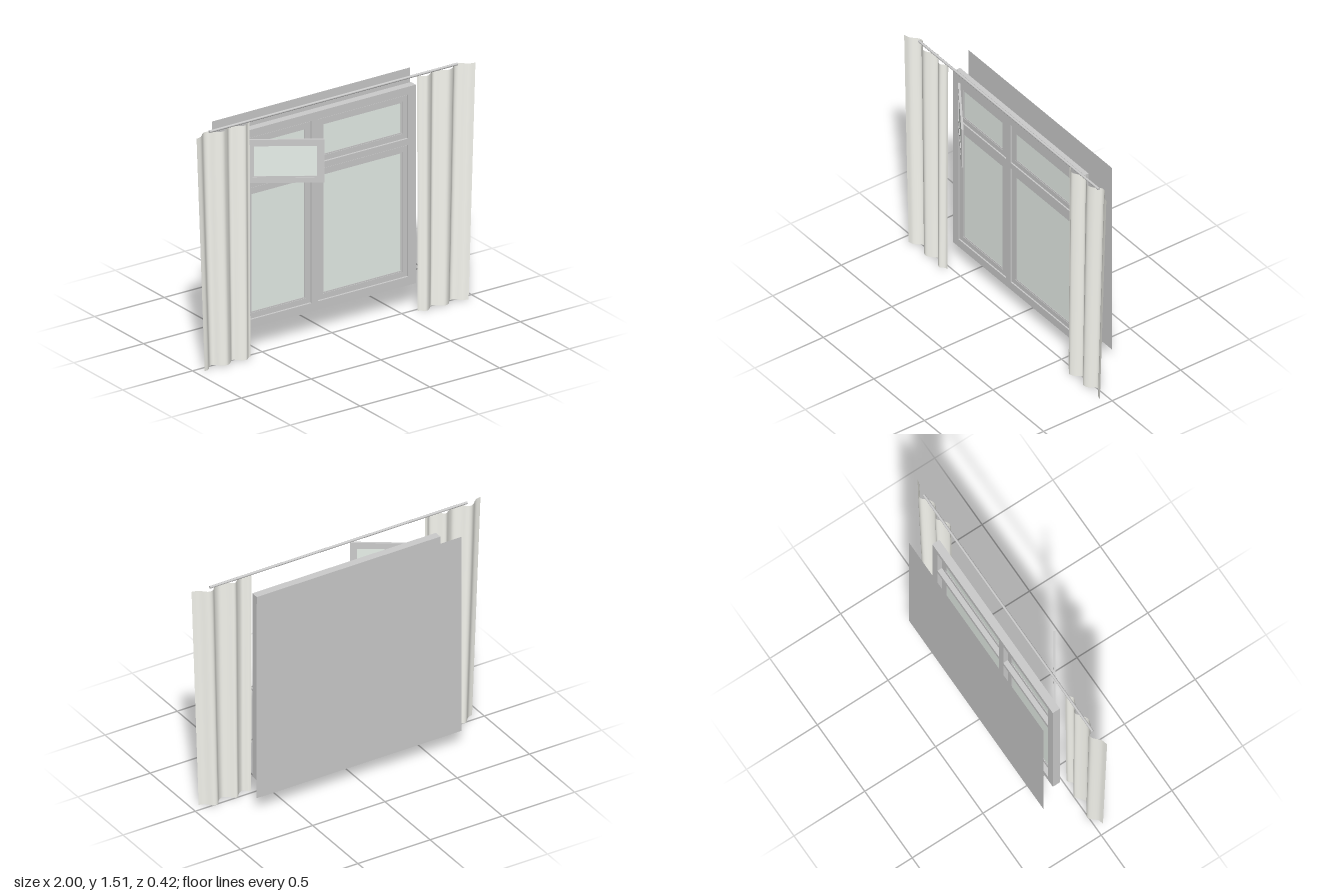
import * as THREE from 'three';

const grey = new THREE.MeshStandardMaterial({ color: 0xcccccc });
const greySheet = new THREE.MeshStandardMaterial({ color: 0xcccccc, side: THREE.DoubleSide });
const glassMat = new THREE.MeshStandardMaterial({ color: 0xe8f0ea });
const clothMat = new THREE.MeshStandardMaterial({ color: 0xf5f5ee, side: THREE.DoubleSide });

function addMesh(parent, name, geometry, material) {
  const mesh = new THREE.Mesh(geometry, material);
  mesh.name = name;
  parent.add(mesh);
  return mesh;
}

function tracePath(path, x0, y0, x1, y1) {
  path.moveTo(x0, y0);
  path.lineTo(x1, y0);
  path.lineTo(x1, y1);
  path.lineTo(x0, y1);
  path.closePath();
  return path;
}

// Flat rectangular panel with rectangular openings, given as [x0, y0, x1, y1]
function panelWithHoles(outer, holes, depth) {
  const shape = tracePath(new THREE.Shape(), ...outer);
  holes.forEach(h => shape.holes.push(tracePath(new THREE.Path(), ...h)));
  return new THREE.ExtrudeGeometry(shape, { depth, bevelEnabled: false });
}

// Sash: border, thinner glazing bead and glass; local origin at its lower left, centred on z
function makeSash(name, w, h) {
  const sash = new THREE.Group();
  sash.name = name;
  const b = 0.034, bead = 0.042, t = 0.014;
  addMesh(sash, 'sashBorder', panelWithHoles([0, 0, w, h], [[b, b, w - b, h - b]], t), grey)
    .position.z = -t / 2;
  addMesh(sash, 'glazingBead', panelWithHoles([b, b, w - b, h - b], [[bead, bead, w - bead, h - bead]], 0.009), grey)
    .position.z = -0.0045;
  addMesh(sash, 'glass', new THREE.BoxGeometry(w - 2 * b, h - 2 * b, 0.004), glassMat)
    .position.set(w / 2, h / 2, 0);
  return sash;
}

// Wavy curtain sheet that narrows towards its hem; side is +1 or -1
function makeCurtain(side) {
  const fold = new THREE.CatmullRomCurve3([
    [0.60, 0.015], [0.618, 0.018], [0.65, 0.042], [0.69, 0.025], [0.73, -0.008], [0.77, 0.02],
    [0.81, 0.04], [0.85, 0.025], [0.885, -0.01], [0.915, -0.01], [0.96, 0.03], [1.0, 0.042],
  ].map(([x, z]) => new THREE.Vector3(x, 0, z)));
  const nx = 44;
  const pts = fold.getPoints(nx);
  const geometry = new THREE.PlaneGeometry(1, 1, nx, 6);
  const pos = geometry.attributes.position;
  for (let i = 0; i < pos.count; i++) {
    const col = i % (nx + 1);
    const p = pts[side > 0 ? col : nx - col];
    const v = pos.getY(i) + 0.5;
    const x = 0.6 + (p.x - 0.6) * (0.865 + 0.135 * v);
    pos.setXYZ(i, side * x, 1.493 * v, p.z + 0.007 * (1 - v));
  }
  geometry.computeVertexNormals();
  return geometry;
}

export function createModel() {
  const model = new THREE.Group();
  model.name = 'curtainedWindow';

  // Backing panel behind the window
  addMesh(model, 'backPanel', new THREE.PlaneGeometry(1.42, 1.34), greySheet)
    .position.set(0, 0.775, -0.212);

  // Window frame with four openings
  const openings = [];
  for (const [x0, x1] of [[-0.583, -0.113], [-0.067, 0.58]])
    for (const [y0, y1] of [[0.2, 1.04], [1.08, 1.36]]) openings.push([x0, y0, x1, y1]);
  addMesh(model, 'windowFrame', panelWithHoles([-0.635, 0.145, 0.635, 1.41], openings, 0.05), grey)
    .position.z = -0.097;

  // Closed sashes, one in each opening
  const gap = 0.004;
  for (const [x0, y0, x1, y1] of openings) {
    const sash = makeSash('fixedSash', x1 - x0 - 2 * gap, y1 - y0 - 2 * gap);
    sash.position.set(x0 + gap, y0 + gap, -0.06);
    model.add(sash);
  }

  // Small vent sash swung open on its outer edge
  const vent = makeSash('openVentSash', 0.456, 0.275);
  vent.position.set(-0.578, 1.08, -0.047);
  vent.rotation.y = -0.59;
  model.add(vent);

  // Curtains and rod
  addMesh(model, 'leftCurtain', makeCurtain(1), clothMat);
  addMesh(model, 'rightCurtain', makeCurtain(-1), clothMat);
  const rod = addMesh(model, 'curtainRod', new THREE.CylinderGeometry(0.008, 0.008, 1.78, 12), grey);
  rod.rotation.z = Math.PI / 2;
  rod.position.set(0, 1.502, 0.015);

  return model;
}
